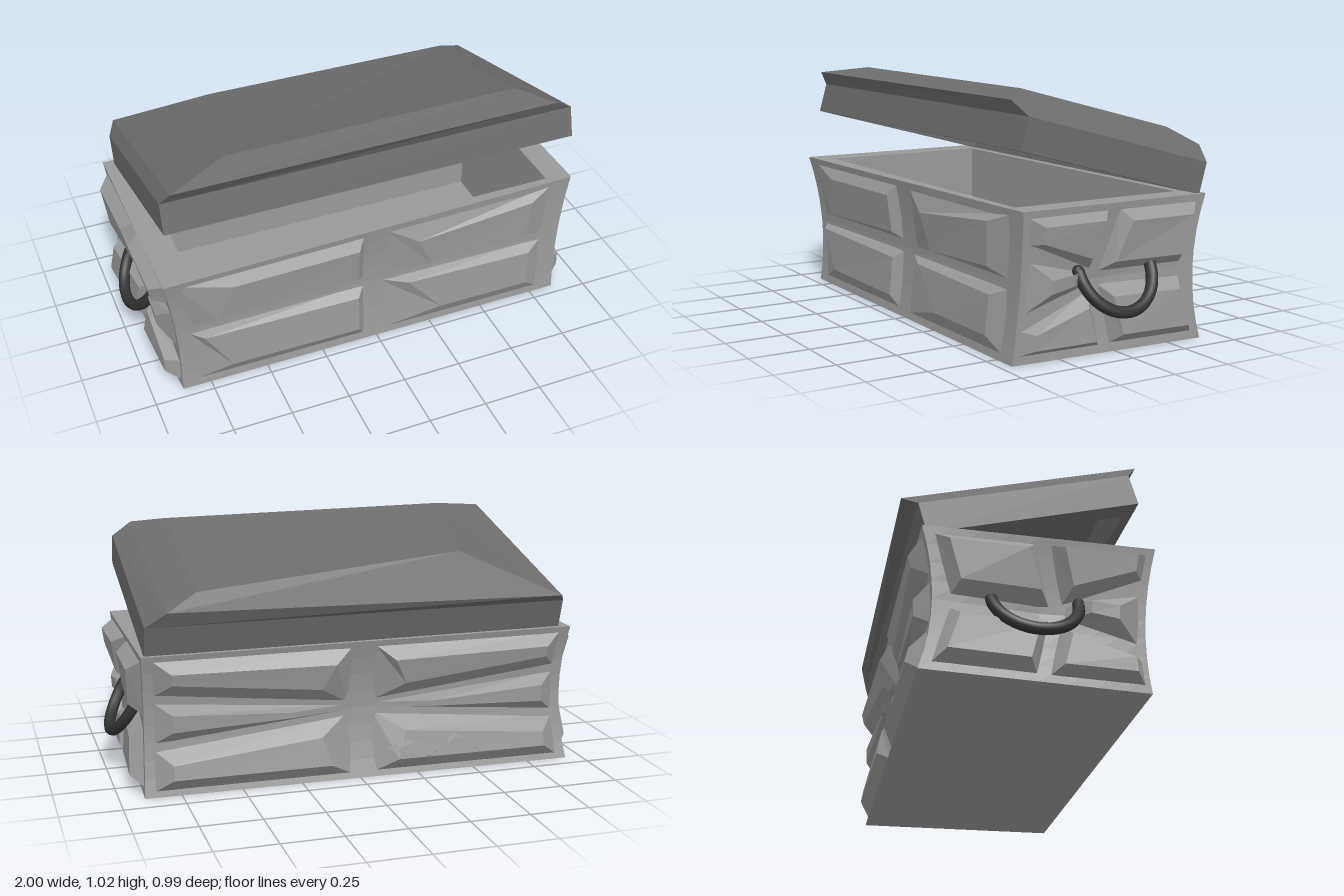
import * as THREE from 'three';

const H = 0.585; // body height
const SEG = 8;   // divisions along each wall

const mat = (color) => new THREE.MeshStandardMaterial({ color, flatShading: true, side: THREE.DoubleSide });
const bodyMat = mat(0x999999), lidMat = mat(0x6c6c6c);
const handleMat = new THREE.MeshStandardMaterial({ color: 0x333333 });
const V = (x, y, z) => new THREE.Vector3(x, y, z);

// Skin a stack of loops (counter-clockwise from above); optionally cap both ends
function loft(rings, capStart, capEnd) {
  const pts = [];
  for (let r = 0; r + 1 < rings.length; r++) {
    const a = rings[r], b = rings[r + 1], n = a.length;
    for (let i = 0; i < n; i++) {
      const j = (i + 1) % n;
      pts.push(a[i], a[j], b[j], a[i], b[j], b[i]);
    }
  }
  const fan = (p) => { for (let i = 1; i + 1 < p.length; i++) pts.push(p[0], p[i], p[i + 1]); };
  if (capStart) fan([...rings[0]].reverse());
  if (capEnd) fan(rings[rings.length - 1]);
  const g = new THREE.BufferGeometry().setFromPoints(pts);
  g.computeVertexNormals();
  return g;
}

function add(parent, name, geometry, material) {
  const m = new THREE.Mesh(geometry, material);
  m.name = name;
  parent.add(m);
  return m;
}

// Corner posts as [x, z] at bottom, waist and top: front left, front right, back right, back left
const columns = [
  [[-0.87, 0.455], [-0.875, 0.44], [-0.92, 0.48]],
  [[0.86, 0.455], [0.875, 0.43], [0.905, 0.435]],
  [[0.90, -0.405], [0.89, -0.37], [0.90, -0.42]],
  [[-0.93, -0.43], [-0.91, -0.38], [-0.93, -0.425]],
];
const normals = [V(0, 0, 1), V(1, 0, 0), V(0, 0, -1), V(-1, 0, 0)];
const pinch = [0.01, 0.03, 0.012, 0.03];

function corner(c, t) {
  const [b, m, p] = columns[c % 4];
  const q = (k) => b[k] * (1 - t) * (1 - 2 * t) + m[k] * 4 * t * (1 - t) + p[k] * t * (2 * t - 1);
  return V(q(0), t * H, q(1));
}

// Point on wall f; u runs left to right seen from outside, t upward, d outward
function wall(f, u, t, d = 0) {
  const dent = pinch[f] * (1 - Math.abs(2 * u - 1)) * (1 - Math.abs(2 * t - 1));
  return corner(f, t).lerp(corner(f + 1, t), u).addScaledVector(normals[f], d - dent);
}

// Shrink a (u, t) outline on wall f by an even bevel width
function inset(f, outline, bevel) {
  const shrink = [f % 2 ? 0.85 : 1.8, H].map((size, k) => {
    const vals = outline.map((p) => p[k]);
    const c = vals.reduce((s, v) => s + v, 0) / vals.length;
    const half = (Math.max(...vals) - Math.min(...vals)) / 2;
    const s = Math.max(0.3, 1 - bevel / (half * size));
    return (v) => c + (v - c) * s;
  });
  return outline.map((p) => p.map((v, k) => shrink[k](v)));
}

// Bevelled slab standing out of wall f, from its outline to its raised face
function slab(f, outline, face, height, base = -0.008) {
  return loft([
    outline.map(([u, t]) => wall(f, u, t, base)),
    face.map(([u, t]) => wall(f, u, t, height)),
  ], false, true);
}

const mirror = (slabs) => slabs.map((s) => s.map((o) => o.map(([u, t]) => [1 - u, t]).reverse()));

// Slab layouts: [outline, optional raised face]
const frontSlabs = [
  [[[0.026, 0.55], [0.471, 0.55], [0.471, 0.97], [0.026, 0.97]],
    [[0.10, 0.59], [0.449, 0.61], [0.449, 0.88], [0.146, 0.88]]],
  [[[0.52, 0.53], [0.957, 0.53], [0.957, 0.97], [0.52, 0.97]],
    [[0.64, 0.57], [0.894, 0.60], [0.894, 0.90], [0.60, 0.82]]],
  [[[0.026, 0.04], [0.471, 0.04], [0.471, 0.48], [0.026, 0.48]],
    [[0.123, 0.15], [0.449, 0.14], [0.449, 0.42], [0.06, 0.45]]],
  [[[0.50, 0.03], [0.957, 0.03], [0.957, 0.48], [0.51, 0.48]],
    [[0.67, 0.15], [0.91, 0.15], [0.91, 0.42], [0.58, 0.44]]],
];
const sideSlabs = [
  [[[0.03, 0.78], [0.40, 0.56], [0.46, 0.96], [0.03, 0.96]]],
  [[[0.45, 0.54], [0.92, 0.54], [0.96, 0.96], [0.52, 0.96]]],
  [[[0.03, 0.32], [0.39, 0.46], [0.39, 0.55], [0.03, 0.68]],
    [[0.14, 0.46], [0.27, 0.49], [0.27, 0.57], [0.14, 0.55]]],
  [[[0.02, 0.05], [0.45, 0.05], [0.40, 0.43], [0.02, 0.22]]],
  [[[0.50, 0.05], [0.96, 0.05], [0.92, 0.46], [0.45, 0.46]]],
];
const halfBack = [
  [[[0.02, 0.70], [0.47, 0.54], [0.475, 0.97], [0.02, 0.97]],
    [[0.06, 0.80], [0.40, 0.68], [0.43, 0.86], [0.06, 0.88]]],
  [[[0.02, 0.36], [0.48, 0.485], [0.48, 0.525], [0.02, 0.66]],
    [[0.06, 0.46], [0.33, 0.49], [0.33, 0.53], [0.06, 0.58]]],
  [[[0.02, 0.03], [0.475, 0.03], [0.47, 0.46], [0.02, 0.32]],
    [[0.06, 0.13], [0.42, 0.13], [0.40, 0.33], [0.06, 0.23]]],
];
const layouts = [frontSlabs, sideSlabs, [...halfBack, ...mirror(halfBack)], mirror(sideSlabs)];
const heights = [0.036, 0.055, 0.055, 0.055];

function buildBody() {
  const g = new THREE.Group();
  g.name = 'body';
  const rings = [];
  for (let k = 0; k <= 8; k++) {
    const ring = [];
    for (let f = 0; f < 4; f++)
      for (let i = 0; i < SEG; i++) ring.push(wall(f, i / SEG, k / 8));
    rings.push(ring);
  }
  // rim, inner walls and floor
  const inner = (y) => rings[8].map((p) => p.clone().clamp(V(-0.8, y, -0.345), V(0.8, y, 0.405)));
  rings.push(inner(H), inner(0.05));
  add(g, 'shell', loft(rings, true, true), bodyMat);

  layouts.forEach((list, f) => list.forEach(([outline, face = inset(f, outline, 0.045)]) =>
    add(g, 'stoneSlab', slab(f, outline, face, heights[f]), bodyMat)));

  // broken shards on the back
  [
    [[0.55, 0.20], [0.66, 0.10], [0.69, 0.20], [0.60, 0.30]],
    [[0.68, 0.22], [0.78, 0.12], [0.80, 0.20], [0.71, 0.32]],
  ].forEach((o) => add(g, 'shard', slab(2, o, inset(2, o, 0.03), 0.078, 0.01), bodyMat));
  return g;
}

function buildLid() {
  // point on the tilted skirt: s from front to back, h from lower to upper edge
  const at = (x, s, h) => V(x, 0.805 - 0.225 * s + 0.125 * h, 0.435 - 0.835 * s - 0.035 * h);
  const rect = (x, s, h) => [at(-x, s, h), at(x, s, h), at(x, 1 - s, h), at(-x, 1 - s, h)];
  const rings = [
    rect(0.795, 0.05, 0.9), // hollow underside
    rect(0.795, 0.05, 0),
    rect(0.885, 0, 0),
    rect(0.885, 0, 1),
    // overhanging edge
    [V(-0.85, 0.99, 0.44), V(0.80, 0.985, 0.425), V(0.80, 0.765, -0.465), V(-0.85, 0.74, -0.497)],
    // raised top panel
    [V(-0.6, 1.023, 0.32), V(0.67, 1.013, 0.3), V(0.67, 0.828, -0.4), V(-0.47, 0.91, -0.285)],
  ];
  const g = new THREE.Group();
  g.name = 'lid';
  add(g, 'lidSlab', loft(rings, true, true), lidMat);
  return g;
}

function buildHandle(side) {
  const g = new THREE.Group();
  g.name = side > 0 ? 'leftHandle' : 'rightHandle';
  const path = [];
  for (let i = 0; i <= 12; i++) {
    const a = (i / 12) * Math.PI, s = Math.sin(a);
    path.push(V(side * (0.885 + 0.091 * s), 0.335 - 0.16 * s, 0.01 + 0.168 * Math.cos(a)));
  }
  const r = 0.024;
  add(g, 'handleBar', new THREE.TubeGeometry(new THREE.CatmullRomCurve3(path), 28, r, 10), handleMat);
  for (const p of [path[0], path[12]])
    add(g, 'handleEnd', new THREE.SphereGeometry(r, 10, 8), handleMat).position.copy(p);
  return g;
}

export function createModel() {
  const model = new THREE.Group();
  model.name = 'stoneChest';
  model.add(buildBody(), buildLid(), buildHandle(1), buildHandle(-1));
  return model;
}
